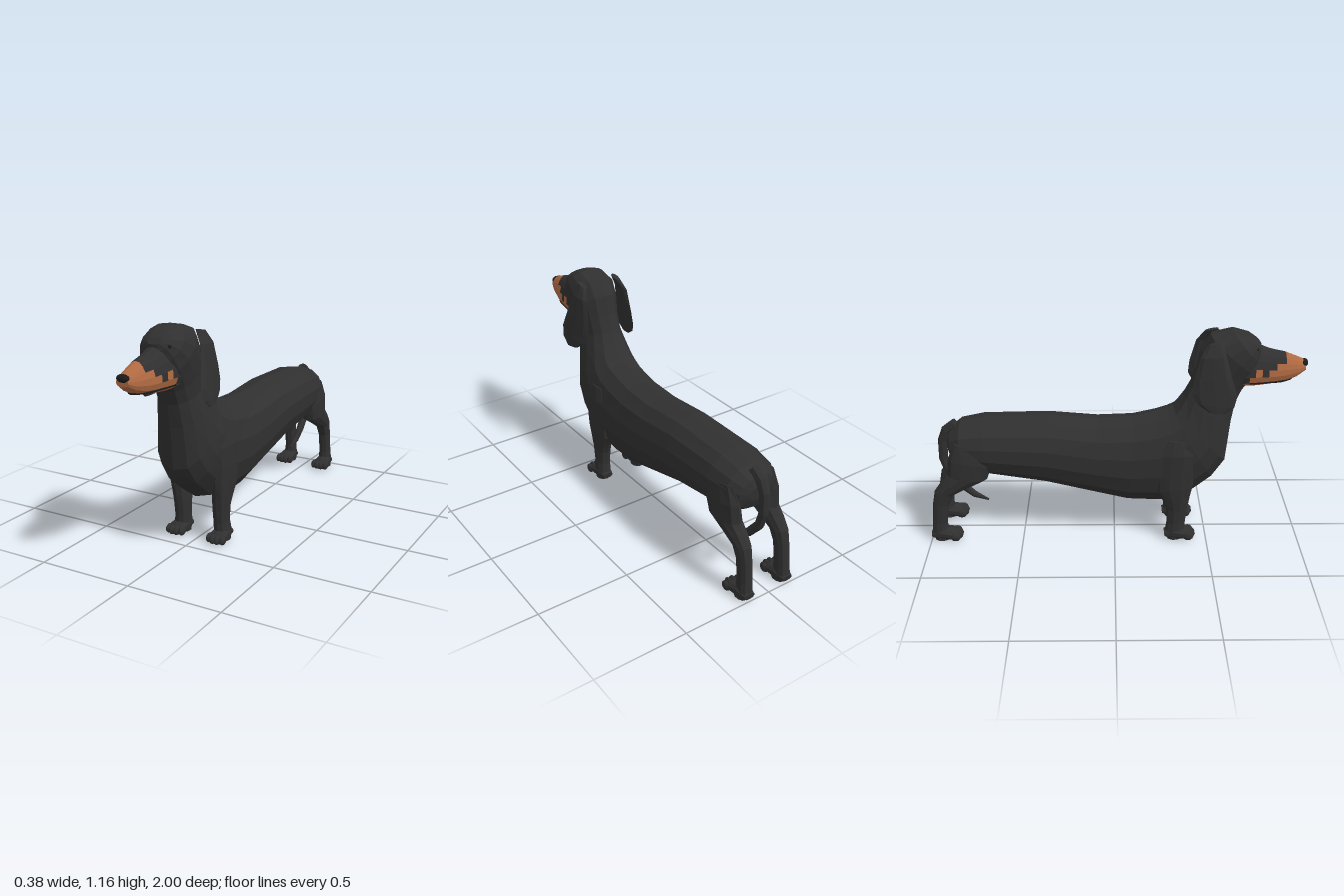
import * as THREE from 'three';

const mat = (name, color) => {
  const m = new THREE.MeshStandardMaterial({ color, flatShading: true });
  m.name = name;
  return m;
};

// Skin rings [topZ, topY, bottomZ, bottomY, halfWidth, centreX, skewX] into a capped faceted body.
// pear widens the lower half; pick(ring, side) chooses a material index per facet.
function loft(rings, { sides = 12, side = 1, pear = 0, pick = () => 0 } = {}) {
  const points = rings.map(([tz, ty, bz, by, w, cx = 0, skew = 0]) =>
    Array.from({ length: sides }, (_, j) => {
      const a = (j / sides) * Math.PI * 2, c = Math.cos(a), s = Math.sin(a);
      const x = Math.sign(s) * Math.abs(s) ** 0.8 * w * (1 - pear * c);
      return [x + side * (cx + skew * c), (ty + by) / 2 + (ty - by) / 2 * c, (tz + bz) / 2 + (tz - bz) / 2 * c];
    }));
  const middle = ([tz, ty, bz, by, , cx = 0]) => [side * cx, (ty + by) / 2, (tz + bz) / 2];
  const buckets = [[], []];
  const last = rings.length - 1;
  for (let j = 0; j < sides; j++) {
    const k = (j + 1) % sides;
    for (let i = 0; i < last; i++) {
      const [a, b, c, d] = [points[i][j], points[i + 1][j], points[i + 1][k], points[i][k]];
      buckets[pick(i, j)].push(...a, ...b, ...c, ...a, ...c, ...d);
    }
    buckets[pick(0, j)].push(...middle(rings[0]), ...points[0][j], ...points[0][k]);
    buckets[pick(last, j)].push(...middle(rings[last]), ...points[last][k], ...points[last][j]);
  }
  const g = new THREE.BufferGeometry();
  g.setAttribute('position', new THREE.Float32BufferAttribute(buckets.flat(), 3));
  g.addGroup(0, buckets[0].length / 3, 0);
  g.addGroup(buckets[0].length / 3, buckets[1].length / 3, 1);
  g.computeVertexNormals();
  return g;
}

export function createModel() {
  const model = new THREE.Group();
  model.name = 'dog';
  const coat = mat('blackCoat', 0x303030);
  const tan = mat('tanMuzzle', 0xb06a42);
  const dark = mat('noseBlack', 0x1b1b1b);
  const add = (name, geometry, material, parent = model) => {
    const m = new THREE.Mesh(geometry, material);
    m.name = name;
    parent.add(m);
    return m;
  };
  const skin = (name, rings, options, parent) => add(name, loft(rings, options), [coat, tan], parent);

  // Rump, long back, chest, neck and skull
  skin('body', [
    [-0.89, 0.56, -0.88, 0.48, 0.06],
    [-0.875, 0.61, -0.86, 0.43, 0.11],
    [-0.82, 0.655, -0.80, 0.39, 0.15],
    [-0.70, 0.68, -0.66, 0.365, 0.165],
    [-0.35, 0.69, -0.37, 0.315, 0.165],
    [-0.09, 0.67, -0.10, 0.245, 0.165],
    [0.10, 0.68, 0.07, 0.20, 0.165],
    [0.22, 0.71, 0.25, 0.19, 0.165],
    [0.28, 0.73, 0.40, 0.235, 0.165],
    [0.31, 0.745, 0.53, 0.34, 0.16],
    [0.33, 0.77, 0.60, 0.44, 0.148],
    [0.36, 0.81, 0.62, 0.66, 0.125],
    [0.39, 0.87, 0.64, 0.78, 0.105],
    [0.42, 0.96, 0.67, 0.85, 0.108],
    [0.44, 1.06, 0.70, 0.89, 0.118],
    [0.49, 1.14, 0.73, 0.93, 0.126],
    [0.60, 1.165, 0.745, 1.0, 0.113],
    [0.68, 1.145, 0.75, 1.06, 0.08],
    [0.72, 1.12, 0.75, 1.09, 0.04],
  ], { sides: 14 });

  // Muzzle with a jagged coat edge: facets above the limit stay black
  const blackLimit = [6, 5, 4, 5, 4, 3, 0, 0, 0];
  skin('muzzle', [
    [0.64, 1.07, 0.64, 0.87, 0.095],
    [0.69, 1.09, 0.69, 0.868, 0.094],
    [0.72, 1.09, 0.72, 0.868, 0.09],
    [0.755, 1.078, 0.755, 0.871, 0.084],
    [0.79, 1.063, 0.79, 0.875, 0.077],
    [0.83, 1.052, 0.83, 0.88, 0.07],
    [0.88, 1.042, 0.88, 0.888, 0.06],
    [0.94, 1.018, 0.94, 0.912, 0.047],
    [0.985, 0.998, 0.985, 0.945, 0.032],
  ], { sides: 16, pear: 0.25, pick: (i, j) => (Math.min(j, 15 - j) < blackLimit[i] ? 0 : 1) });

  const nose = add('nose', new THREE.IcosahedronGeometry(1, 1), dark);
  nose.scale.set(0.034, 0.02, 0.022);
  nose.position.set(0, 0.984, 0.978);

  // Mouth line running round the jaw
  const half = [[0.084, 0.9, 0.69], [0.066, 0.9, 0.8], [0.049, 0.9, 0.87]];
  const lip = [...half, [0, 0.902, 0.925], ...half.map(([x, y, z]) => [-x, y, z]).reverse()];
  add('mouth', new THREE.TubeGeometry(
    new THREE.CatmullRomCurve3(lip.map((p) => new THREE.Vector3(...p))), 24, 0.005, 5), dark);

  // Tail hanging behind the rump and curling forward: [z, y, radius]
  const path = [[-0.84, 0.635, 0.035], [-0.895, 0.60, 0.03], [-0.92, 0.54, 0.026], [-0.925, 0.43, 0.024],
    [-0.90, 0.345, 0.024], [-0.83, 0.26, 0.022], [-0.77, 0.205, 0.018], [-0.695, 0.17, 0.005]];
  skin('tail', path.map(([z, y, r], i) => {
    const a = path[Math.max(i - 1, 0)], b = path[Math.min(i + 1, path.length - 1)];
    const dz = b[0] - a[0], dy = b[1] - a[1], k = r / Math.hypot(dz, dy);
    return [z - dy * k, y + dz * k, z + dy * k, y - dz * k, r * 0.95];
  }), { sides: 8 });

  // Paw with four toes, placed by its heel z
  const paw = (name, side, heel, parent) => {
    const group = new THREE.Group();
    group.name = name;
    parent.add(group);
    skin('pad', [
      [heel, 0.045, heel + 0.005, 0.01, 0.03, 0.12],
      [heel + 0.06, 0.075, heel + 0.05, 0, 0.044, 0.12],
      [heel + 0.12, 0.062, heel + 0.12, 0, 0.05, 0.122],
      [heel + 0.15, 0.04, heel + 0.15, 0.005, 0.045, 0.122],
    ], { side, sides: 10 }, group);
    for (let t = 0; t < 4; t++) {
      const toe = add('toe', new THREE.IcosahedronGeometry(1, 1), coat, group);
      toe.scale.set(0.0145, 0.026, 0.029);
      toe.position.set(side * 0.122 + (t - 1.5) * 0.026, 0.027, heel + (t % 3 ? 0.142 : 0.132));
    }
  };

  for (const side of [1, -1]) {
    const label = side > 0 ? 'left' : 'right';

    // Drooping ear
    skin(label + 'Ear', [
      [0.54, 1.135, 0.47, 1.12, 0.016, 0.105, 0],
      [0.56, 1.07, 0.43, 1.06, 0.016, 0.132, 0.004],
      [0.59, 0.96, 0.40, 0.94, 0.016, 0.148, 0.01],
      [0.62, 0.87, 0.395, 0.87, 0.015, 0.16, 0.014],
      [0.605, 0.81, 0.42, 0.82, 0.013, 0.17, 0.012],
      [0.56, 0.775, 0.48, 0.78, 0.008, 0.178, 0.006],
    ], { side, sides: 8 });

    const eye = add(label + 'Eye', new THREE.IcosahedronGeometry(0.016, 1), dark);
    eye.position.set(side * 0.068, 1.083, 0.715);

    // Foreleg from shoulder to ankle
    const fore = new THREE.Group();
    fore.name = label + 'ForeLeg';
    skin('leg', [
      [0.40, 0.60, 0.27, 0.60, 0.025, 0.13],
      [0.43, 0.52, 0.23, 0.52, 0.038, 0.135],
      [0.425, 0.42, 0.22, 0.40, 0.04, 0.133],
      [0.42, 0.33, 0.225, 0.30, 0.043, 0.127],
      [0.405, 0.25, 0.26, 0.23, 0.043, 0.12],
      [0.395, 0.18, 0.278, 0.18, 0.04, 0.116],
      [0.385, 0.10, 0.285, 0.10, 0.038, 0.116],
      [0.385, 0.04, 0.275, 0.04, 0.042, 0.12],
      [0.37, 0, 0.285, 0, 0.038, 0.12],
    ], { side, sides: 10 }, fore);
    paw('paw', side, 0.27, fore);

    // Hind leg with thigh, hock and shank
    const hind = new THREE.Group();
    hind.name = label + 'HindLeg';
    skin('leg', [
      [-0.62, 0.54, -0.84, 0.58, 0.025, 0.125],
      [-0.65, 0.45, -0.88, 0.49, 0.045, 0.12],
      [-0.68, 0.365, -0.89, 0.39, 0.05, 0.115],
      [-0.79, 0.31, -0.93, 0.345, 0.045, 0.115],
      [-0.865, 0.27, -0.965, 0.295, 0.038, 0.116],
      [-0.895, 0.21, -0.98, 0.22, 0.033, 0.117],
      [-0.91, 0.10, -0.992, 0.10, 0.033, 0.118],
      [-0.905, 0.04, -0.998, 0.04, 0.038, 0.12],
      [-0.90, 0, -0.985, 0, 0.038, 0.12],
    ], { side, sides: 10 }, hind);
    paw('paw', side, -1.0, hind);
    model.add(fore, hind);
  }
  return model;
}
